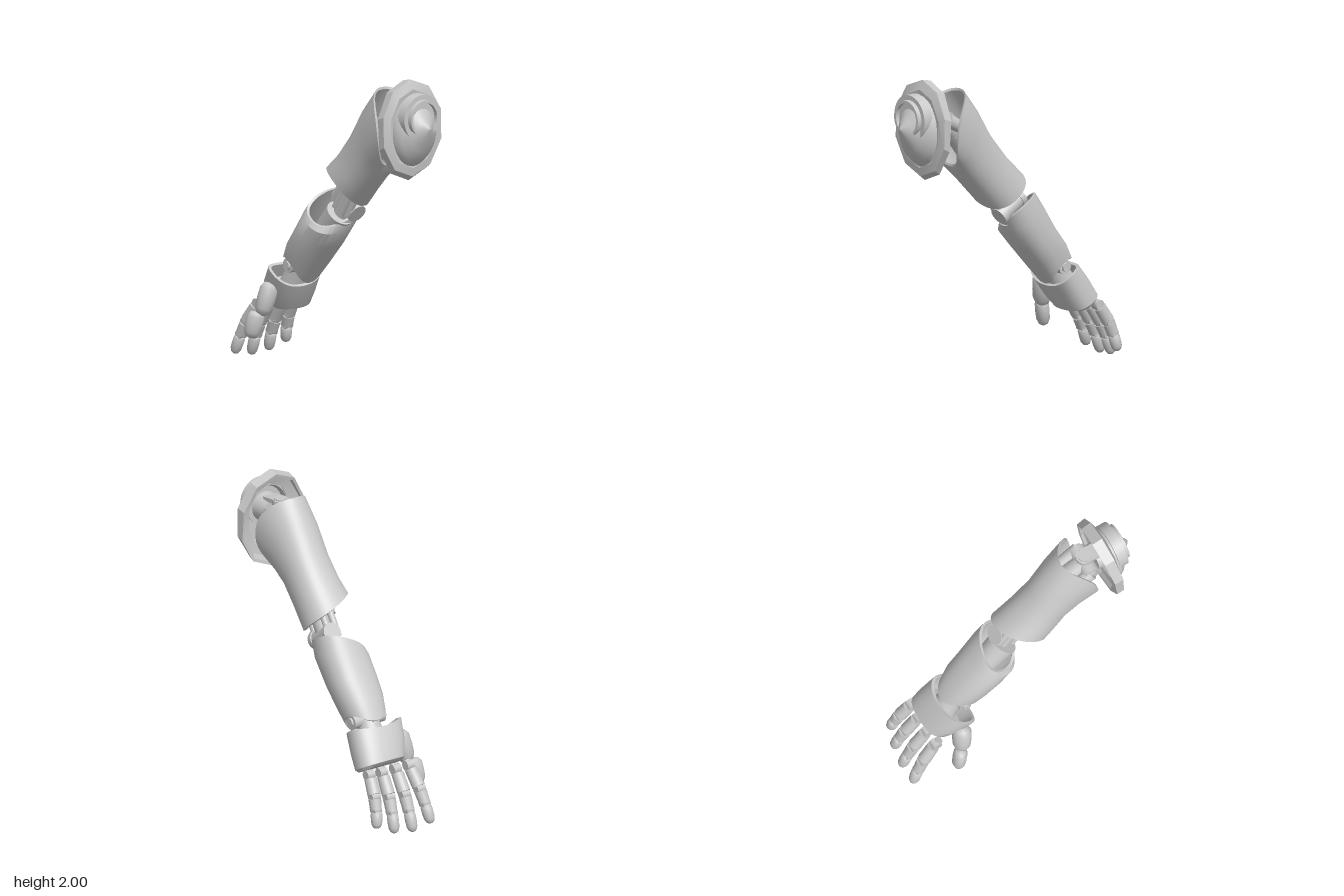
import * as THREE from 'three';
import { mergeVertices, toCreasedNormals } from 'three/addons/utils/BufferGeometryUtils.js';

const metal = new THREE.MeshStandardMaterial({ color: 0xc8c8c8 });
metal.name = 'light grey metal';
const V = (x, y, z) => new THREE.Vector3(x, y, z);

// Ring: [ax, ay, bx, by, zFront, zBack, tilt, bow]
// A and B are its upper and lower edges; tilt and bow slide the sides along the limb.
function ringPoint([ax, ay, bx, by, zf, zb, tilt = 0, bow = 0], angle, square) {
  const soft = v => Math.sign(v) * Math.pow(Math.abs(v), square);
  const c = soft(Math.cos(angle)), s = soft(Math.sin(angle));
  const w = (1 - c) / 2, len = Math.hypot(ax - bx, ay - by) || 1;
  const slide = (tilt * s + bow * s * s) / len;
  return [
    ax + (bx - ax) * w + (ay - by) * slide,
    ay + (by - ay) * w - (ax - bx) * slide,
    (zf + zb) / 2 + (zf - zb) / 2 * s
  ];
}

// Skin through rings, ordered towards the shoulder
function loft(rings, segs = 40, crease = 0.6, square = 1) {
  const pos = [], idx = [];
  rings.forEach(r => {
    for (let j = 0; j < segs; j++) pos.push(...ringPoint(r, j / segs * Math.PI * 2, square));
  });
  for (let i = 0; i < rings.length - 1; i++) {
    for (let j = 0; j < segs; j++) {
      const a = i * segs + j, b = i * segs + (j + 1) % segs;
      idx.push(a, b, b + segs, a, b + segs, a + segs);
    }
  }
  const g = new THREE.BufferGeometry();
  g.setAttribute('position', new THREE.Float32BufferAttribute(pos, 3));
  g.setIndex(idx);
  return toCreasedNormals(mergeVertices(g), crease);
}

function shrink([ax, ay, bx, by, zf, zb, tilt, bow], t) {
  const d = V(bx - ax, by - ay, 0).setLength(t);
  return [ax + d.x, ay + d.y, bx - d.x, by - d.y, zf - t, zb + t, tilt, bow];
}
// Hollow sleeve with real wall thickness
const sleeve = (rings, t) => [...rings, ...rings.map(r => shrink(r, t)).reverse(), rings[0]];
const point = (x, y, z) => [x, y, x, y, z, z];
const turned = pts => new THREE.LatheGeometry(pts.map(p => new THREE.Vector2(...p)), 40);

export function createModel() {
  const model = new THREE.Group();
  model.name = 'mechanicalArm';

  function add(name, geometry, parent = model) {
    const m = new THREE.Mesh(geometry, metal);
    m.name = name;
    parent.add(m);
    return m;
  }
  // Cylinder from p (radius r0) to q (radius r1)
  function rod(name, p, q, r0, r1 = r0, parent = model, sides = 24) {
    const d = q.clone().sub(p);
    const m = add(name, new THREE.CylinderGeometry(r1, r0, d.length(), sides), parent);
    m.position.copy(p).add(q).multiplyScalar(0.5);
    m.quaternion.setFromUnitVectors(V(0, 1, 0), d.normalize());
  }
  // Rounded bullet from p to q, with flattening
  function pod(name, p, q, r0, r1, parent, flat = 1) {
    const d = q.clone().sub(p), h = d.length();
    const m = add(name, turned([[0, 0], [r0 * 0.7, h * 0.04], [r0, h * 0.18], [(r0 + r1) / 2 * 1.04, h * 0.5],
      [r1, h * 0.76], [r1 * 0.72, h * 0.92], [r1 * 0.35, h * 0.985], [0, h]]), parent);
    m.position.copy(p);
    m.quaternion.setFromUnitVectors(V(0, 1, 0), d.normalize());
    m.scale.z = flat;
  }

  // Armour sleeves
  add('upperArmShell', loft(sleeve([
    [-0.085, 1.32, 0.17, 1.11, 0.135, -0.21, 0.07, 0.02],
    [0.04, 1.44, 0.27, 1.215, 0.125, -0.2, 0.03, 0],
    [0.165, 1.595, 0.365, 1.31, 0.115, -0.195],
    [0.27, 1.77, 0.425, 1.365, 0.125, -0.215, 0, 0.04],
    [0.37, 1.905, 0.45, 1.41, 0.14, -0.24, 0, 0.125]
  ], 0.016), 40, 0.6, 0.9));
  add('forearmShell', loft(sleeve([
    [-0.52, 0.675, -0.33, 0.533, 0.09, -0.18, 0, 0.09],
    [-0.455, 0.79, -0.225, 0.65, 0.108, -0.197, 0, 0.04],
    [-0.36, 0.915, -0.095, 0.8, 0.12, -0.205],
    [-0.265, 1.06, 0, 0.915, 0.12, -0.21, -0.04, 0],
    [-0.215, 1.135, 0.02, 0.985, 0.1, -0.2, -0.08, -0.01]
  ], 0.016), 40, 0.6, 0.85));

  // Inner frame and elbow
  const elbow = V(-0.005, 1.09, -0.09);
  const across = V(0.84, -0.54, 0), along = V(0.54, 0.84, 0);
  const at = (u, v, z) => elbow.clone().addScaledVector(across, u).addScaledVector(along, v).setZ(z);
  rod('upperArmCore', at(0, 0.12, -0.06), V(0.4, 1.64, -0.04), 0.09, 0.085);
  rod('forearmCore', V(-0.4, 0.65, -0.045), at(0, -0.075, -0.06), 0.06, 0.095);
  rod('elbowAxle', at(-0.1, 0, elbow.z), at(0.1, 0, elbow.z), 0.056);
  rod('elbowBlock', at(0, -0.1, -0.075), at(0, 0.15, -0.075), 0.06);
  for (const s of [-1, 1]) {
    rod('elbowDisc', at(0.07 * s, 0, elbow.z), at(0.105 * s, 0, elbow.z), 0.064);
    for (const z of [-0.1, -0.04]) rod('elbowStrut', at(0.08 * s, -0.03, z), at(0.075 * s, 0.17, z), 0.022);
    rod('elbowRib', at(0.035 * s, -0.05, -0.03), at(0.035 * s, 0.15, -0.03), 0.022);
  }

  // Wrist
  rod('wristAxle', V(-0.4, 0.65, 0.075), V(-0.4, 0.65, -0.165), 0.047);
  for (const z of [0.078, -0.168]) rod('wristPin', V(-0.4, 0.65, z - 0.012), V(-0.4, 0.65, z + 0.012), 0.028);
  rod('wristStem', V(-0.4, 0.65, -0.045), V(-0.5, 0.48, -0.045), 0.07, 0.09);

  // Hand with an open cuff
  const hand = new THREE.Group();
  hand.name = 'hand';
  model.add(hand);
  const palm = [
    [-0.65, 0.425, -0.5, 0.34, 0.09, -0.22],
    [-0.668, 0.455, -0.468, 0.345, 0.108, -0.232],
    [-0.61, 0.555, -0.415, 0.42, 0.15, -0.226],
    [-0.55, 0.64, -0.365, 0.51, 0.178, -0.21, 0, 0.04]
  ];
  add('palm', loft([point(-0.575, 0.385, -0.06), ...palm, shrink(palm[3], 0.02), shrink(palm[2], 0.028),
    point(-0.5, 0.5, -0.05)], 40, 0.6, 0.8), hand);

  // Thumb
  pod('thumbBase', V(-0.475, 0.54, 0.15), V(-0.51, 0.325, 0.2), 0.064, 0.06, hand, 0.9);
  rod('thumbJoint', V(-0.505, 0.38, 0.195), V(-0.535, 0.29, 0.225), 0.03, 0.03, hand);
  pod('thumbTip', V(-0.525, 0.355, 0.222), V(-0.562, 0.18, 0.245), 0.056, 0.053, hand, 0.8);

  // Fingers: [base z, tip z, x shift at tip, y shift at tip]
  const path = [[-0.62, 0.4], [-0.665, 0.35], [-0.735, 0.245], [-0.75, 0.215], [-0.785, 0.14], [-0.79, 0.135], [-0.835, 0.003]];
  [[0.105, 0.145, 0, 0.025], [0.005, 0.005, 0, 0], [-0.1, -0.125, 0.02, 0.015], [-0.195, -0.235, 0.06, 0.06]].forEach(
    ([z0, z1, dx, dy], n) => {
      const finger = new THREE.Group();
      finger.name = 'finger' + (n + 1);
      hand.add(finger);
      const p = path.map(([x, y]) => {
        const t = (0.4 - y) / 0.4;
        return V(x + dx * t, y + dy * t, z0 + (z1 - z0) * t);
      });
      rod('fingerTendon', p[0], p[5], 0.026, 0.026, finger, 12);
      const knuckle = (q, r, w) => rod('knuckle', V(q.x, q.y, q.z - w), V(q.x, q.y, q.z + w), r, r, finger, 16);
      knuckle(p[1].clone().lerp(p[0], 0.45), 0.033, 0.028);
      rod('fingerLower', p[1], p[2], 0.04, 0.043, finger);
      knuckle(p[2].clone().lerp(p[3], 0.5), 0.03, 0.031);
      rod('fingerMiddle', p[3], p[4], 0.041, 0.037, finger);
      knuckle(p[4], 0.028, 0.029);
      pod('fingerTip', p[5], p[6], 0.037, 0.034, finger);
    });

  // Shoulder joint: crossed axles held in a round yoke
  const c = V(0.54, 1.735, -0.04);
  const lift = (y, z = c.z) => V(c.x, y, z);
  rod('shoulderAxle', lift(c.y, -0.14), lift(c.y, 0.06), 0.054);
  for (const z of [-0.14, 0.06]) {
    rod('shoulderBoss', lift(c.y, z - 0.015), lift(c.y, z + 0.015), 0.036);
    rod('shoulderArm', V(0.42, 1.67, z * 0.9 - 0.004), lift(c.y, z * 0.9 - 0.004), 0.04, 0.045);
  }
  rod('shoulderPost', lift(1.64), lift(1.845), 0.04);
  for (const [y, tilt] of [[1.65, 0.3], [1.82, -0.12]]) {
    rod('yokeRing', lift(y - 0.016), lift(y + 0.016), 0.055);
    const plate = add('yokeArm', new THREE.BoxGeometry(0.13, 0.028, 0.1));
    plate.position.set(0.595, y, c.z);
    plate.rotation.z = tilt;
  }
  rod('shoulderNeck', V(0.36, 1.6, -0.04), c, 0.08, 0.06);
  rod('shoulderHub', V(0.6, 1.735, -0.04), V(0.72, 1.735, -0.04), 0.085, 0.1);

  // Faceted shoulder guard, an open ring
  add('shoulderGuard', loft([
    [0.595, 1.985, 0.645, 1.345, 0.218, -0.28, 0, 0.01],
    [0.665, 2.0, 0.682, 1.375, 0.222, -0.285, 0, 0.01],
    [0.69, 1.94, 0.692, 1.43, 0.165, -0.23],
    [0.685, 1.9, 0.685, 1.45, 0.13, -0.2],
    [0.668, 1.9, 0.672, 1.45, 0.13, -0.2],
    [0.645, 1.965, 0.665, 1.4, 0.195, -0.258],
    [0.6, 1.965, 0.648, 1.365, 0.2, -0.262, 0, 0.01],
    [0.595, 1.985, 0.645, 1.345, 0.218, -0.28, 0, 0.01]
  ], 10, 0.3));

  // Hollow dome with a pointed centre
  add('shoulderDome', loft([
    point(0.73, 1.7, -0.035),
    [0.73, 1.86, 0.715, 1.49, 0.105, -0.175],
    [0.675, 1.885, 0.68, 1.455, 0.12, -0.19],
    [0.675, 1.905, 0.68, 1.435, 0.135, -0.205],
    [0.72, 1.9, 0.7, 1.45, 0.135, -0.205],
    [0.755, 1.86, 0.735, 1.48, 0.11, -0.18],
    [0.79, 1.8, 0.775, 1.54, 0.06, -0.13],
    [0.81, 1.765, 0.805, 1.6, 0.035, -0.1],
    point(0.855, 1.705, -0.033)
  ], 40, 0.7));
  // Stepped drum with a recessed face
  const drum = add('shoulderDrum', toCreasedNormals(turned([[0, 0.71], [0.152, 0.71], [0.15, 0.775], [0.12, 0.775],
    [0.118, 0.803], [0.1, 0.803], [0.1, 0.775], [0, 0.775]]), 0.5));
  drum.position.set(0, 1.765, -0.035);
  drum.rotation.z = -Math.PI / 2;

  return model;
}
